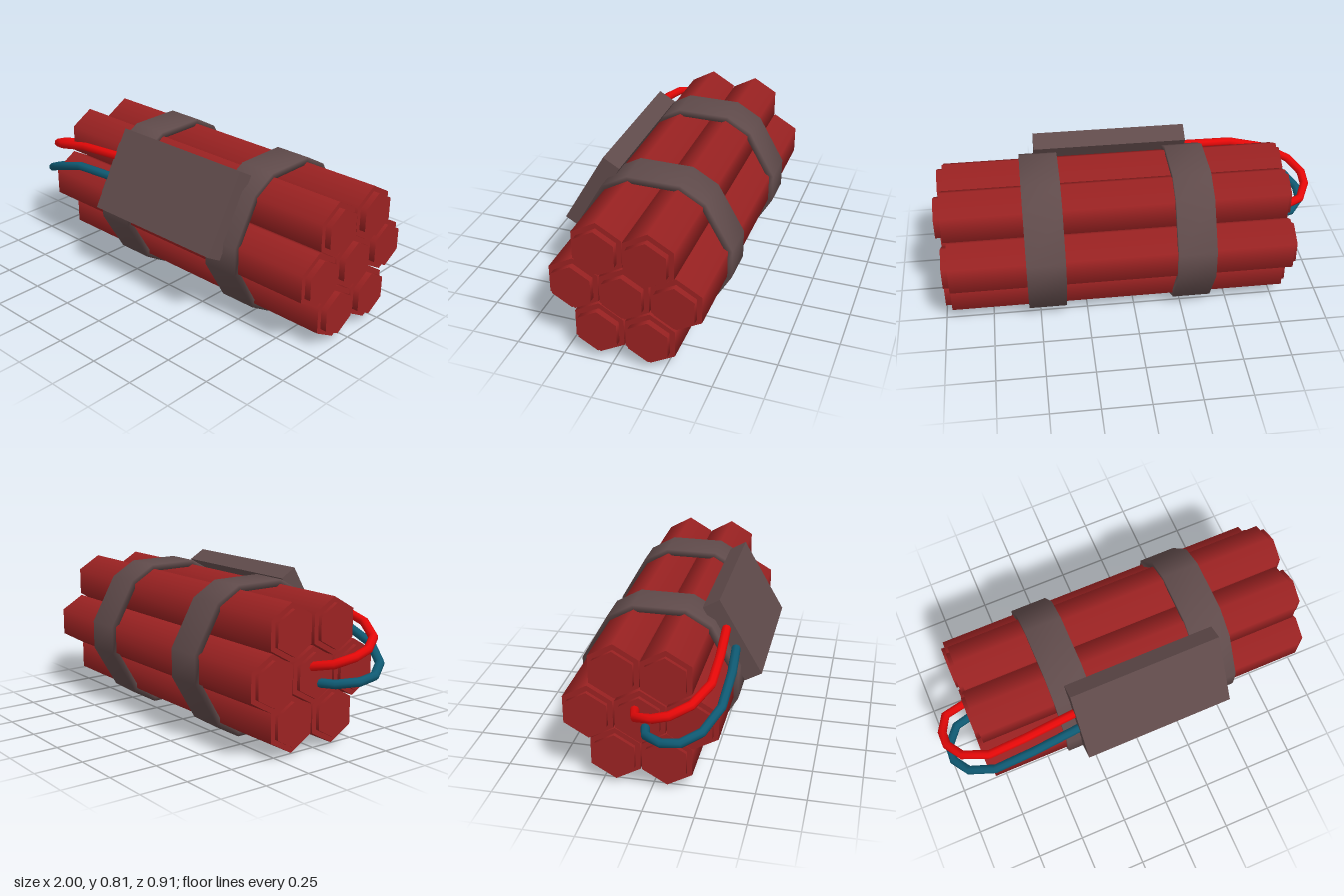
import * as THREE from 'three';

const mat = (name, color, side = THREE.FrontSide) => {
  const m = new THREE.MeshStandardMaterial({ color, side });
  m.name = name;
  return m;
};

// Closed band around the bundle: a rectangular section swept round a 12-sided outline
function bandGeometry(outline, centre, width, inner) {
  const pos = [], idx = [], n = outline.length;
  for (const [z, y] of outline) {
    for (const [x, s] of [[-1, 1], [1, 1], [1, inner], [-1, inner]]) {
      pos.push(x * width / 2, centre[1] + (y - centre[1]) * s, centre[0] + (z - centre[0]) * s);
    }
  }
  for (let i = 0; i < n; i++) {
    for (let k = 0; k < 4; k++) {
      const a = i * 4 + k, b = i * 4 + (k + 1) % 4;
      const c = ((i + 1) % n) * 4 + k, d = ((i + 1) % n) * 4 + (k + 1) % 4;
      idx.push(a, c, b, b, c, d);
    }
  }
  const g = new THREE.BufferGeometry();
  g.setAttribute('position', new THREE.Float32BufferAttribute(pos, 3));
  g.setIndex(idx);
  g.computeVertexNormals();
  return g;
}

export function createModel() {
  const model = new THREE.Group();
  const red = mat('stick red', 0x9b2222);
  const grey = mat('strap grey', 0x604b4b);
  const wireRed = mat('wire red', 0xe60808, THREE.DoubleSide);
  const wireBlue = mat('wire blue', 0x0f5a73, THREE.DoubleSide);

  const add = (parent, name, geometry, material, x = 0, y = 0, z = 0) => {
    const m = new THREE.Mesh(geometry, material);
    m.name = name;
    m.position.set(x, y, z);
    parent.add(m);
    return m;
  };

  // Seven hexagonal sticks, each with a slimmer core showing at both ends
  const hexBar = (r, length) =>
    new THREE.CylinderGeometry(r, r, length, 6, 1, false, Math.PI / 6).rotateZ(Math.PI / 2);
  const body = hexBar(0.143, 1.755);
  const core = hexBar(0.114, 1.808);
  const sticks = [ // z, y, shift along x
    [0.075, 0.61, 0], [-0.18, 0.61, 0.012],
    [0.202, 0.388, -0.005], [-0.053, 0.388, 0], [-0.308, 0.388, -0.005],
    [0.075, 0.167, 0.003], [-0.18, 0.167, 0.005],
  ];
  for (const [z, y, shift] of sticks) {
    const stick = new THREE.Group();
    stick.name = 'stick';
    stick.position.set(0.078 + shift, y, z);
    add(stick, 'stickBody', body, red);
    add(stick, 'stickCore', core, red, 0.006);
    model.add(stick);
  }

  // Two straps
  const outline = [
    [0.083, 0.775], [0.215, 0.7], [0.35, 0.462], [0.35, 0.313], [0.215, 0.08], [0.083, 0],
    [-0.19, 0], [-0.32, 0.08], [-0.455, 0.313], [-0.455, 0.462], [-0.32, 0.7], [-0.19, 0.775],
  ];
  const band = bandGeometry(outline, [-0.0525, 0.3875], 0.197, 0.912);
  add(model, 'leftStrap', band, grey, 0.462);
  add(model, 'rightStrap', band, grey, -0.302);

  // Tilted control box on the upper front
  const box = add(model, 'controlBox', new THREE.BoxGeometry(0.805, 0.441, 0.097), grey, 0.0775, 0.595, 0.303);
  box.rotation.x = -Math.PI / 6;

  // Wires looping from the box into the stick ends, one tube segment per point
  const wire = (name, points, material) => {
    const path = new THREE.CatmullRomCurve3(points.map(p => new THREE.Vector3(...p)));
    path.getPointAt = path.getPoint;
    path.getTangentAt = path.getTangent;
    add(model, name, new THREE.TubeGeometry(path, points.length - 1, 0.023, 8), material);
  };
  wire('redWire', [
    [-0.3, 0.66, 0.27], [-0.6, 0.645, 0.29], [-0.79, 0.6, 0.285], [-0.92, 0.555, 0.22],
    [-0.975, 0.52, 0.13], [-0.975, 0.495, 0.05], [-0.93, 0.465, -0.04], [-0.79, 0.43, -0.08],
  ], wireRed);
  wire('blueWire', [
    [-0.3, 0.555, 0.32], [-0.58, 0.553, 0.345], [-0.79, 0.485, 0.335], [-0.92, 0.42, 0.27],
    [-0.975, 0.383, 0.18], [-0.97, 0.368, 0.09], [-0.9, 0.355, 0], [-0.79, 0.345, -0.03],
  ], wireBlue);

  return model;
}
